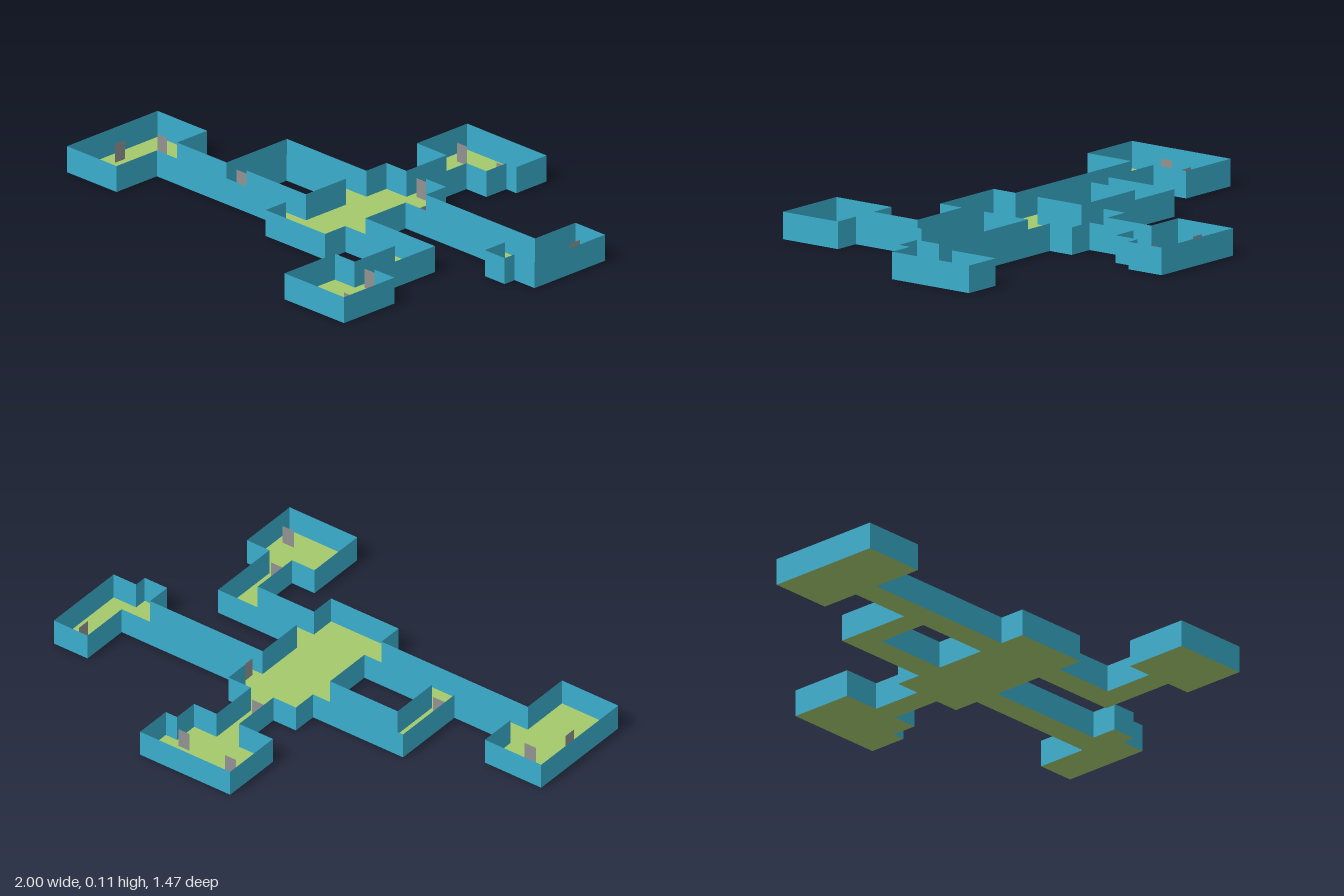
import * as THREE from 'three';

// The plan lies on a 38 x 28 cell grid
const U = 2 / 38;
const WALL = 2 * U;
const px = (x) => (x - 19) * U;
const pz = (z) => (z - 14) * U;

const OUTER = [
  [17, 0], [25, 0], [25, 3], [24, 3], [24, 5], [22, 5], [22, 9], [24, 9], [24, 11],
  [35, 11], [35, 7], [38, 7], [38, 14], [36, 14], [36, 15], [34, 15], [34, 13],
  [24, 13], [24, 17], [31, 17], [31, 23], [33, 23], [33, 28], [27, 28], [27, 23],
  [29, 23], [29, 19], [24, 19], [24, 21], [18, 21], [18, 19], [5, 19], [5, 23],
  [0, 23], [0, 14], [5, 14], [5, 17], [10, 17], [10, 11], [18, 11], [18, 9], [20, 9],
  [20, 5], [17, 5],
];
const COURT = [[12, 13], [18, 13], [18, 17], [12, 17]];

// Small upright panels: x, z, and whether they run along z
const PANELS = [
  [21, 8.5, false], [24.5, 12, true], [30, 22.5, false], [11, 16.5, false],
  [18.5, 2, false], [23, 2.5, false], [32, 26.5, false],
  [2.5, 16, false], [1.2, 18.9, true], [36.5, 8.5, true],
];

function material(name, color) {
  const m = new THREE.MeshStandardMaterial({ color, side: THREE.DoubleSide });
  m.name = name;
  return m;
}

// Upright sheet between two plan points
function sheet(name, a, b, height, mat) {
  const dx = (b[0] - a[0]) * U, dz = (b[1] - a[1]) * U;
  const mesh = new THREE.Mesh(new THREE.PlaneGeometry(Math.hypot(dx, dz), height), mat);
  mesh.position.set(px((a[0] + b[0]) / 2), height / 2, pz((a[1] + b[1]) / 2));
  mesh.rotation.y = Math.atan2(-dz, dx);
  mesh.name = name;
  return mesh;
}

export function createModel() {
  const model = new THREE.Group();
  model.name = 'roomsAndCorridors';
  const green = material('floor green', 0xa3c86c);
  const blue = material('wall blue', 0x3aadcc);
  const grey = material('panel grey', 0x929292);

  // Floor with the open court cut out
  const toPlan = ([x, z]) => new THREE.Vector2(px(x), -pz(z));
  const plan = new THREE.Shape(OUTER.map(toPlan));
  plan.holes.push(new THREE.Path(COURT.map(toPlan)));
  const floor = new THREE.Mesh(new THREE.ShapeGeometry(plan).rotateX(-Math.PI / 2), green);
  floor.name = 'floor';
  model.add(floor);

  // Walls along both outlines
  for (const [name, loop] of [['outerWalls', OUTER], ['courtWalls', COURT]]) {
    const walls = new THREE.Group();
    walls.name = name;
    loop.forEach((p, i) => walls.add(sheet('wall', p, loop[(i + 1) % loop.length], WALL, blue)));
    model.add(walls);
  }

  // Panels standing in the doorways and rooms
  const panels = new THREE.Group();
  panels.name = 'panels';
  for (const [x, z, alongZ] of PANELS) {
    const a = alongZ ? [x, z - 0.5] : [x - 0.5, z];
    const b = alongZ ? [x, z + 0.5] : [x + 0.5, z];
    panels.add(sheet('panel', a, b, 1.45 * U, grey));
  }
  model.add(panels);
  return model;
}
